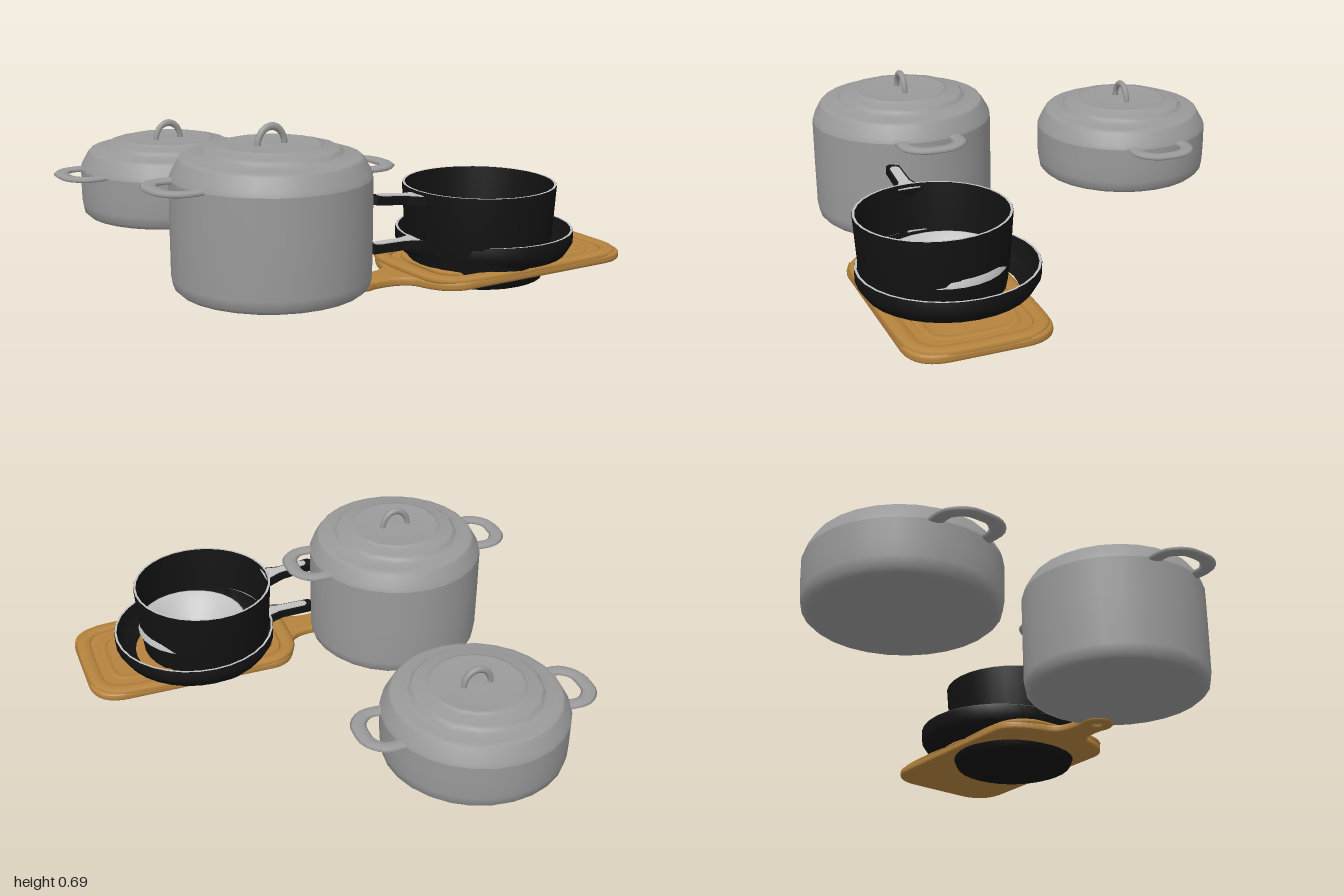
import * as THREE from 'three';

const mat = (name, color, side = THREE.FrontSide) => {
  const m = new THREE.MeshStandardMaterial({ color, side });
  m.name = name;
  return m;
};

export function createModel() {
  const root = new THREE.Group();
  root.name = 'cookwareSet';
  const enamel = mat('grey enamel', 0x9a9a9a, THREE.DoubleSide);
  const iron = mat('black iron', 0x121212, THREE.DoubleSide);
  const steel = mat('bare steel', 0xc0c0c0, THREE.DoubleSide);
  const wood = mat('wood', 0xb5833d);

  const add = (parent, name, geo, material, x = 0, y = 0, z = 0) => {
    const m = new THREE.Mesh(geo, material);
    m.name = name;
    m.position.set(x, y, z);
    parent.add(m);
    return m;
  };
  const lathe = (pts, sides) =>
    new THREE.LatheGeometry(pts.map(p => new THREE.Vector2(p[0], p[1])), sides);

  // Lidded pots: body, stepped lid, lid loop and two side handles
  function pot(name, x, y, z, h) {
    const g = new THREE.Group();
    g.name = name;
    g.position.set(x, y, z);
    root.add(g);
    add(g, 'body', lathe([[0, 0], [0.34, 0], [0.365, 0.005], [0.383, 0.022],
      [0.39, 0.06], [0.392, h * 0.6], [0.392, h]], 28), enamel);
    add(g, 'lidSkirt', lathe([[0.392, 0], [0.385, 0.02], [0.358, 0.068], [0.35, 0.077],
      [0.33, 0.08]], 28), enamel, 0, h, 0);
    add(g, 'lidTop', lathe([[0.345, 0.078], [0.285, 0.084], [0.275, 0.1], [0.262, 0.11],
      [0.21, 0.113], [0.203, 0.124], [0.19, 0.126], [0.13, 0.118], [0.05, 0.121],
      [0, 0.123]], 16), enamel, 0, h, 0);
    const loop = new THREE.TorusGeometry(0.059, 0.013, 8, 14, Math.PI);
    loop.scale(1, 1.2, 1);
    add(g, 'lidLoop', loop, enamel, 0, h + 0.12, 0);
    const path = new THREE.CatmullRomCurve3(
      [[0.35, -0.115], [0.44, -0.112], [0.49, -0.06], [0.497, 0], [0.49, 0.06],
        [0.44, 0.112], [0.35, 0.115]].map(p => new THREE.Vector3(p[0], 0, p[1])));
    for (const s of [1, -1]) {
      const ear = new THREE.TubeGeometry(path, 20, 0.033, 8);
      ear.scale(1, 0.35, 1);
      if (s < 0) ear.rotateY(Math.PI);
      add(g, s > 0 ? 'leftHandle' : 'rightHandle', ear, enamel, 0, h, 0);
    }
  }
  pot('tallPot', -0.47, 0.035, 0.477, 0.445);
  pot('lowPot', -0.4, 0.11, -0.575, 0.215);

  // Tapered pan handle with a steel inlay on top
  function panHandle(name, z, y0, y1, x0, x1) {
    const g = new THREE.Group();
    g.name = name;
    g.position.set(x1, y1, z);
    g.rotation.z = -Math.atan2(y0 - y1, x1 - x0);
    root.add(g);
    const len = Math.hypot(x1 - x0, y0 - y1);
    const plate = (wEnd, wPan, l, t) => {
      const s = new THREE.Shape();
      s.moveTo(0, -wPan);
      s.lineTo(0, wPan);
      s.lineTo(-l * 0.35, wEnd * 1.1);
      s.lineTo(-l + 0.012, wEnd);
      s.lineTo(-l, wEnd * 0.5);
      s.lineTo(-l, -wEnd * 0.5);
      s.lineTo(-l + 0.012, -wEnd);
      s.lineTo(-l * 0.35, -wEnd * 1.1);
      s.closePath();
      const e = new THREE.ExtrudeGeometry(s, { depth: t, bevelEnabled: false });
      e.rotateX(Math.PI / 2);
      return e;
    };
    add(g, 'grip', plate(0.028, 0.06, len, 0.034), iron, 0, 0.015, 0);
    add(g, 'inlay', plate(0.02, 0.048, len - 0.03, 0.005), steel, 0, 0.019, 0);
  }

  // Saucepan
  add(root, 'saucepan', lathe([[0, 0], [0.25, 0], [0.265, 0.006], [0.282, 0.045],
    [0.3, 0.18], [0.313, 0.38], [0.302, 0.38], [0.288, 0.18], [0.27, 0.03], [0, 0.03]], 32),
  iron, 0.41, 0, 0.64);
  add(root, 'saucepanRim', new THREE.RingGeometry(0.302, 0.312, 32).rotateX(-Math.PI / 2),
    steel, 0.41, 0.382, 0.64);
  panHandle('saucepanHandle', 0.64, 0.375, 0.348, -0.12, 0.115);

  // Skillet with a raised steel dish
  add(root, 'skillet', lathe([[0.275, 0.068], [0.335, 0.085], [0.352, 0.11], [0.365, 0.132],
    [0.366, 0.18], [0.355, 0.18], [0.352, 0.135], [0.325, 0.1], [0.275, 0.078]], 32),
  iron, 0.47, 0, 0.603);
  add(root, 'skilletRim', new THREE.RingGeometry(0.355, 0.365, 32).rotateX(-Math.PI / 2),
    steel, 0.47, 0.182, 0.603);
  add(root, 'steelDish', lathe([[0.25, 0.183], [0.243, 0.212], [0.235, 0.213], [0.2, 0.185],
    [0.15, 0.13], [0.09, 0.08]], 28), steel, 0.47, 0, 0.622);
  panHandle('skilletHandle', 0.61, 0.168, 0.165, -0.11, 0.13);

  // Cutting board: rounded slab with a neck and a hanging hole
  const B = { x0: 0.035, x1: 0.985, z0: 0.355, z1: 0.915, r: 0.14, zc: 0.635 };
  const slab = new THREE.Shape();
  slab.moveTo(B.x0 + B.r, B.z0);
  slab.lineTo(B.x1 - B.r, B.z0);
  slab.quadraticCurveTo(B.x1, B.z0, B.x1, B.z0 + B.r);
  slab.lineTo(B.x1, B.z1 - B.r);
  slab.quadraticCurveTo(B.x1, B.z1, B.x1 - B.r, B.z1);
  slab.lineTo(B.x0 + B.r, B.z1);
  slab.quadraticCurveTo(B.x0 + 0.04, B.z1, B.x0, B.zc + 0.13);
  slab.quadraticCurveTo(B.x0 - 0.02, B.zc + 0.05, -0.1, B.zc + 0.05);
  slab.absarc(-0.17, B.zc, 0.06, Math.PI / 3, Math.PI * 5 / 3, false);
  slab.lineTo(-0.1, B.zc - 0.05);
  slab.quadraticCurveTo(B.x0 - 0.02, B.zc - 0.05, B.x0, B.zc - 0.13);
  slab.quadraticCurveTo(B.x0 + 0.04, B.z0, B.x0 + B.r, B.z0);
  const hole = new THREE.Path();
  hole.absarc(-0.17, B.zc, 0.035, 0, Math.PI * 2, true);
  slab.holes.push(hole);
  const board = new THREE.ExtrudeGeometry(slab, {
    depth: 0.012, bevelThickness: 0.012, bevelSize: 0.013, bevelSegments: 3, curveSegments: 10,
  });
  board.rotateX(Math.PI / 2);
  // Neck dips slightly below the slab
  const p = board.attributes.position;
  for (let i = 0; i < p.count; i++) {
    p.setY(i, p.getY(i) - 0.013 * (1 - THREE.MathUtils.smoothstep(p.getX(i), -0.05, 0.2)));
  }
  board.computeVertexNormals();
  add(root, 'cuttingBoard', board, wood, 0, 0.062, 0);

  // Raised rim and inner ridge of the board
  const ridge = (name, inset, r, radius, flat) => {
    const pts = [];
    const hx = (B.x1 - B.x0) / 2 - inset, hz = (B.z1 - B.z0) / 2 - inset;
    for (const [sx, sz, a] of [[1, 1, 0], [-1, 1, 1], [-1, -1, 2], [1, -1, 3]]) {
      for (let k = 0; k <= 4; k++) {
        const t = (a + k / 4) * Math.PI / 2;
        pts.push(new THREE.Vector3(sx * (hx - r) + r * Math.cos(t), 0,
          sz * (hz - r) + r * Math.sin(t)));
      }
    }
    const geo = new THREE.TubeGeometry(
      new THREE.CatmullRomCurve3(pts, true, 'centripetal'), 80, radius, 8, true);
    geo.scale(1, flat, 1);
    add(root, name, geo, wood, (B.x0 + B.x1) / 2, 0.07, B.zc);
  };
  ridge('boardRim', 0.025, 0.12, 0.036, 0.42);
  ridge('boardRidge', 0.105, 0.08, 0.022, 0.4);

  return root;
}
